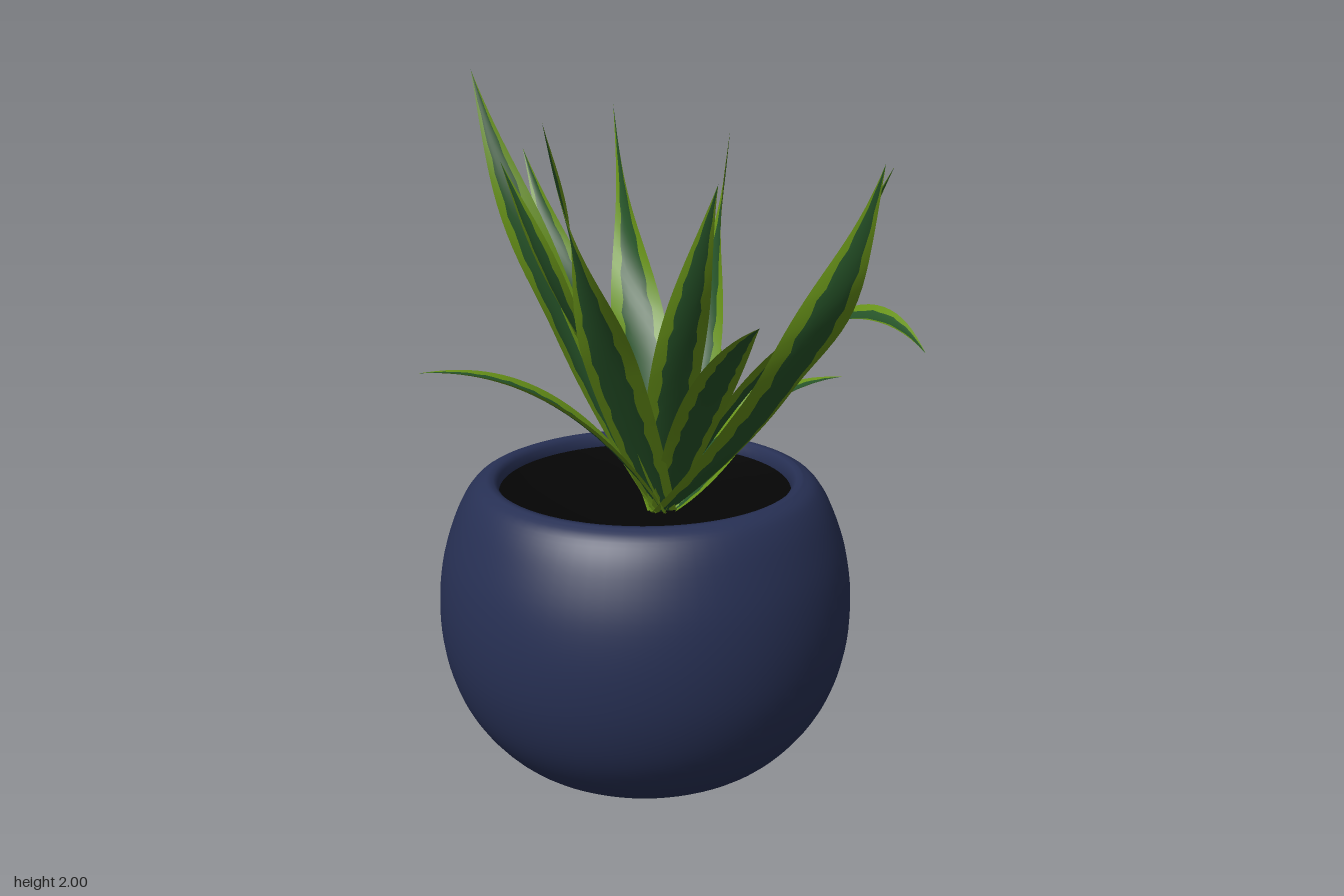
import * as THREE from 'three';

const mat = (name, color, side = THREE.FrontSide) => {
  const m = new THREE.MeshStandardMaterial({ color, side });
  m.name = name;
  return m;
};

const BASE = new THREE.Vector3(-0.04, 0.78, 0.09);

// Each leaf: point halfway along, tip, half width, twist towards the tip, roll of the whole blade
const LEAVES = [
  { mid: [0.01, 1.19, -0.37], tip: [0.04, 1.85, -0.84], w: 0.088, twist: -1.4 },
  { mid: [-0.12, 1.1, -0.22], tip: [-0.17, 1.22, -0.54], w: 0.075 },
  { mid: [-0.3, 1.37, -0.17], tip: [-0.48, 2.0, -0.4], w: 0.08, twist: -1.2 },
  { mid: [-0.2, 1.27, -0.16], tip: [-0.33, 1.77, -0.43], w: 0.07, twist: -1.2 },
  { mid: [0.14, 1.25, -0.13], tip: [0.29, 1.81, -0.37], w: 0.07, twist: -1.3 },
  { mid: [0.14, 1.05, -0.16], tip: [0.28, 1.15, -0.43], w: 0.07, roll: 0.7 },
  { mid: [0.3, 1.06, -0.05], tip: [0.71, 1.72, -0.1], w: 0.085, twist: -1.4 },
  { mid: [0.21, 1.05, 0.09], tip: [0.45, 1.18, 0.2], w: 0.08 },
  { mid: [0.33, 1.33, 0.28], tip: [0.52, 1.34, 0.61], w: 0.08, twist: 0.3 },
  { mid: [0.2, 1.27, 0.48], tip: [0.3, 1.86, 0.83], w: 0.088, twist: -1.4 },
  { mid: [0.01, 1.22, 0.42], tip: [0.01, 1.48, 0.8], w: 0.07 },
  { mid: [-0.05, 1.28, 0.3], tip: [-0.03, 1.79, 0.58], w: 0.072, twist: -0.8 },
  { mid: [-0.28, 1.36, 0.37], tip: [-0.48, 1.96, 0.69], w: 0.08, twist: -1.4 },
  { mid: [-0.27, 1.28, 0.12], tip: [-0.47, 1.79, 0.02], w: 0.077, twist: -0.8 },
  { mid: [-0.36, 1.13, 0.1], tip: [-0.72, 1.24, 0.09], w: 0.075 },
];

// Pointed, channelled blade with a green centre and pale margins
function leafGeometry({ mid, tip, w, twist = 0, roll = 0 }, seed) {
  const end = new THREE.Vector3(...tip);
  const control = new THREE.Vector3(...mid).multiplyScalar(2)
    .addScaledVector(BASE, -0.5).addScaledVector(end, -0.5);
  const curve = new THREE.QuadraticBezierCurve3(BASE, control, end);
  const rows = 32;
  const cols = [-1, -0.55, -0.28, 0, 0.28, 0.55, 1];
  const n = cols.length;
  const positions = [], margin = [], centre = [];
  const out = end.clone().sub(BASE).setY(0).normalize();
  const across = new THREE.Vector3(-out.z, 0, out.x);

  for (let i = 0; i <= rows; i++) {
    const t = i / rows;
    const p = curve.getPoint(t);
    const tangent = curve.getTangent(t);
    const side = across.clone().addScaledVector(tangent, -across.dot(tangent)).normalize();
    side.applyAxisAngle(tangent, roll + twist * THREE.MathUtils.smoothstep(t, 0.42, 0.95));
    const normal = side.clone().cross(tangent);
    const half = w * Math.pow(Math.max(0, Math.sin(Math.PI * (0.18 + 0.82 * t))), 1.1);
    cols.forEach((u, j) => {
      // The edge of the pale margin wavers slightly
      const waver = j === 1 || j === n - 2 ? 0.06 * Math.sin(i * 2.3 + seed * 1.7 + j) : 0;
      const v = u + waver;
      const q = p.clone().addScaledVector(side, half * v).addScaledVector(normal, half * 0.22 * v * v);
      positions.push(q.x, q.y, q.z);
    });
  }
  for (let i = 0; i < rows; i++) {
    for (let j = 0; j < n - 1; j++) {
      const a = i * n + j, b = a + 1, c = a + n, d = c + 1;
      (j === 0 || j === n - 2 ? margin : centre).push(a, b, c, b, d, c);
    }
  }
  const g = new THREE.BufferGeometry();
  g.setAttribute('position', new THREE.Float32BufferAttribute(positions, 3));
  g.setIndex([...centre, ...margin]);
  g.addGroup(0, centre.length, 0);
  g.addGroup(centre.length, margin.length, 1);
  g.computeVertexNormals();
  return g;
}

export function createModel() {
  const model = new THREE.Group();
  model.name = 'pottedPlant';
  const potBlue = mat('pot blue', 0x273054);
  const soilBlack = mat('soil black', 0x050505);
  const leafGreen = mat('leaf green', 0x265328, THREE.DoubleSide);
  const leafLime = mat('leaf lime', 0x669018, THREE.DoubleSide);

  // Round pot, smooth outside, with a rolled rim and short inner wall
  const outer = new THREE.SplineCurve([
    [0, 0], [0.16, 0.008], [0.3, 0.042], [0.42, 0.11], [0.52, 0.23], [0.575, 0.37], [0.592, 0.52],
    [0.577, 0.67], [0.535, 0.8], [0.49, 0.875], [0.445, 0.9],
  ].map(([r, y]) => new THREE.Vector2(r, y))).getPoints(48);
  outer[0].set(0, 0);
  const inner = [[0.43, 0.898], [0.418, 0.885], [0.415, 0.86], [0.415, 0.78]]
    .map(([r, y]) => new THREE.Vector2(r, y));
  const pot = new THREE.Mesh(new THREE.LatheGeometry([...outer, ...inner], 72), potBlue);
  pot.name = 'pot';
  pot.position.set(-0.09, 0, 0.08);
  model.add(pot);

  // Soil, dished slightly towards the stem
  const dish = [[0.418, 0.862], [0.34, 0.835], [0.18, 0.8], [0, 0.79]].map(([r, y]) => new THREE.Vector2(r, y));
  const soil = new THREE.Mesh(new THREE.LatheGeometry(dish, 72), soilBlack);
  soil.name = 'soil';
  soil.position.set(-0.09, 0, 0.08);
  model.add(soil);

  // Rosette of leaves
  const leaves = new THREE.Group();
  leaves.name = 'leaves';
  LEAVES.forEach((leaf, i) => {
    const mesh = new THREE.Mesh(leafGeometry(leaf, i), [leafGreen, leafLime]);
    mesh.name = `leaf${i + 1}`;
    leaves.add(mesh);
  });
  model.add(leaves);
  return model;
}
